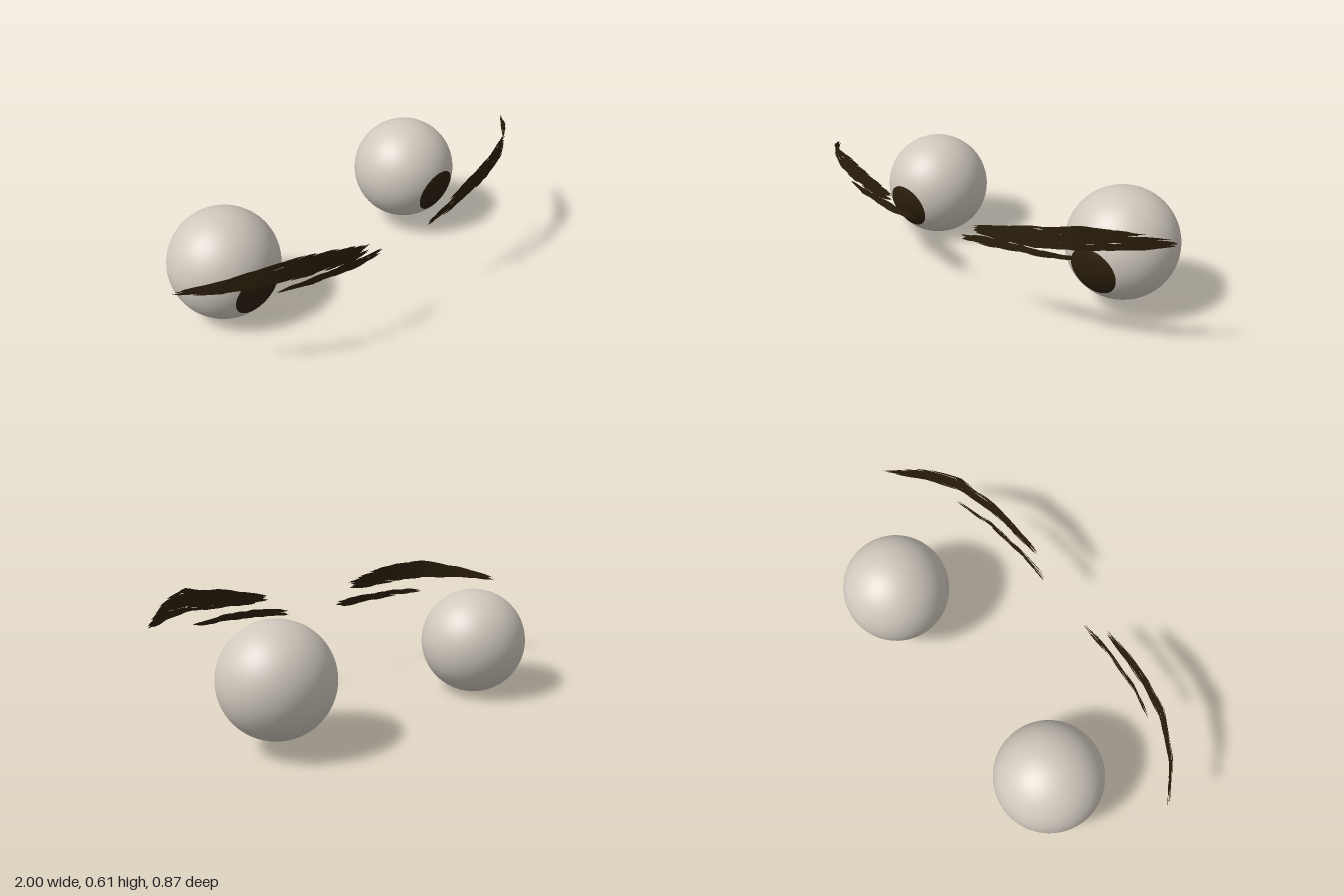
import * as THREE from 'three';

const eyeWhite = new THREE.MeshStandardMaterial({ color: 0xcfc8bd });
eyeWhite.name = 'eyeWhite';
const darkBrown = new THREE.MeshStandardMaterial({ color: 0x2b1f0c, side: THREE.DoubleSide });
darkBrown.name = 'darkBrown';

const EYE_RADIUS = 0.25;
const IRIS_ANGLE = 0.469; // half angle of the coloured cap

// Small seeded generator for the hair scatter
function seeded(seed) {
  let s = seed;
  return () => {
    s = (s * 16807) % 2147483647;
    return s / 2147483647;
  };
}

// Eyeball split into a dark front cap and a pale remainder, looking slightly down
function makeEye(name, x, y, z) {
  const eye = new THREE.Group();
  eye.name = name;
  const iris = new THREE.Mesh(
    new THREE.SphereGeometry(EYE_RADIUS, 64, 12, 0, Math.PI * 2, 0, IRIS_ANGLE), darkBrown);
  iris.name = 'iris';
  const ball = new THREE.Mesh(
    new THREE.SphereGeometry(EYE_RADIUS, 64, 40, 0, Math.PI * 2, IRIS_ANGLE, Math.PI - IRIS_ANGLE), eyeWhite);
  ball.name = 'eyeball';
  eye.add(iris, ball);
  const gaze = new THREE.Vector3(-0.02, -0.235, 0.97).normalize();
  eye.quaternion.setFromUnitVectors(new THREE.Vector3(0, 1, 0), gaze);
  eye.position.set(x, y, z);
  return eye;
}

// Envelope of a brow at x, from keys [x, bottom, top, z] sorted by x
function envelope(keys, x) {
  let i = 0;
  while (i < keys.length - 2 && x > keys[i + 1][0]) i++;
  const a = keys[i], b = keys[i + 1];
  const t = THREE.MathUtils.clamp((x - a[0]) / (b[0] - a[0]), 0, 1);
  return a.map((v, k) => THREE.MathUtils.lerp(v, b[k], t));
}

// Patch of flat tapered hairs scattered inside the envelope
function makeBrow(name, keys, { count, length, width, slope, seed }) {
  const rand = seeded(seed);
  const x0 = keys[0][0], x1 = keys[keys.length - 1][0];
  const positions = [], indices = [];
  const steps = 4;
  for (let n = 0; n < count; n++) {
    const len = length * (0.7 + 0.6 * rand());
    const xc = x0 + len / 2 + (x1 - x0 - len) * ((n + rand()) / count);
    const v = (n * 0.618 + 0.15 * rand()) % 1;
    const mid = envelope(keys, xc);
    const yc = THREE.MathUtils.lerp(mid[1], mid[2], v);
    const depth = (rand() - 0.5) * 0.012;
    const base = positions.length / 3;
    for (let i = 0; i <= steps; i++) {
      const t = i / steps;
      const x = xc + (t - 0.5) * len;
      const e = envelope(keys, x);
      const follow = THREE.MathUtils.lerp(e[1], e[2], v);
      const y = 0.5 * (follow + yc + slope * (x - xc));
      const half = 0.5 * width * Math.sin(Math.PI * t);
      positions.push(x, y - half, e[3] + depth, x, y + half, e[3] + depth);
      if (i < steps) {
        const k = base + i * 2;
        indices.push(k, k + 2, k + 1, k + 1, k + 2, k + 3);
      }
    }
  }
  const geometry = new THREE.BufferGeometry();
  geometry.setAttribute('position', new THREE.Float32BufferAttribute(positions, 3));
  geometry.setIndex(indices);
  geometry.computeVertexNormals();
  const brow = new THREE.Mesh(geometry, darkBrown);
  brow.name = name;
  return brow;
}

export function createModel() {
  const model = new THREE.Group();
  model.name = 'eyesAndBrows';

  // Eyes, the left one slightly higher and further forward
  model.add(makeEye('rightEye', -0.55, 0.25, -0.19));
  model.add(makeEye('leftEye', 0.59, 0.307, -0.135));

  // Upper brows
  const upper = { count: 190, length: 0.13, width: 0.013 };
  model.add(makeBrow('rightUpperBrow', [
    [-1, 0.437, 0.442, 0.065], [-0.87, 0.45, 0.495, 0.2], [-0.7, 0.457, 0.54, 0.31],
    [-0.55, 0.452, 0.535, 0.36], [-0.4, 0.44, 0.5, 0.39], [-0.26, 0.438, 0.465, 0.405],
  ], { ...upper, slope: 0.2, seed: 11 }));
  model.add(makeBrow('leftUpperBrow', [
    [0.22, 0.468, 0.485, 0.43], [0.35, 0.47, 0.52, 0.425], [0.52, 0.485, 0.57, 0.415],
    [0.7, 0.51, 0.61, 0.37], [0.86, 0.528, 0.585, 0.27], [1, 0.527, 0.533, 0.15],
  ], { ...upper, slope: 0.2, seed: 29 }));

  // Thin lower brows
  const lower = { count: 60, length: 0.11, width: 0.011 };
  model.add(makeBrow('rightLowerBrow', [
    [-0.67, 0.388, 0.397, 0.285], [-0.52, 0.382, 0.405, 0.34],
    [-0.32, 0.372, 0.402, 0.372], [-0.15, 0.365, 0.395, 0.382],
  ], { ...lower, slope: 0.1, seed: 47 }));
  model.add(makeBrow('leftLowerBrow', [
    [0.12, 0.383, 0.405, 0.398], [0.3, 0.4, 0.44, 0.395],
    [0.5, 0.43, 0.452, 0.38], [0.7, 0.447, 0.455, 0.335],
  ], { ...lower, slope: 0.15, seed: 83 }));

  return model;
}
